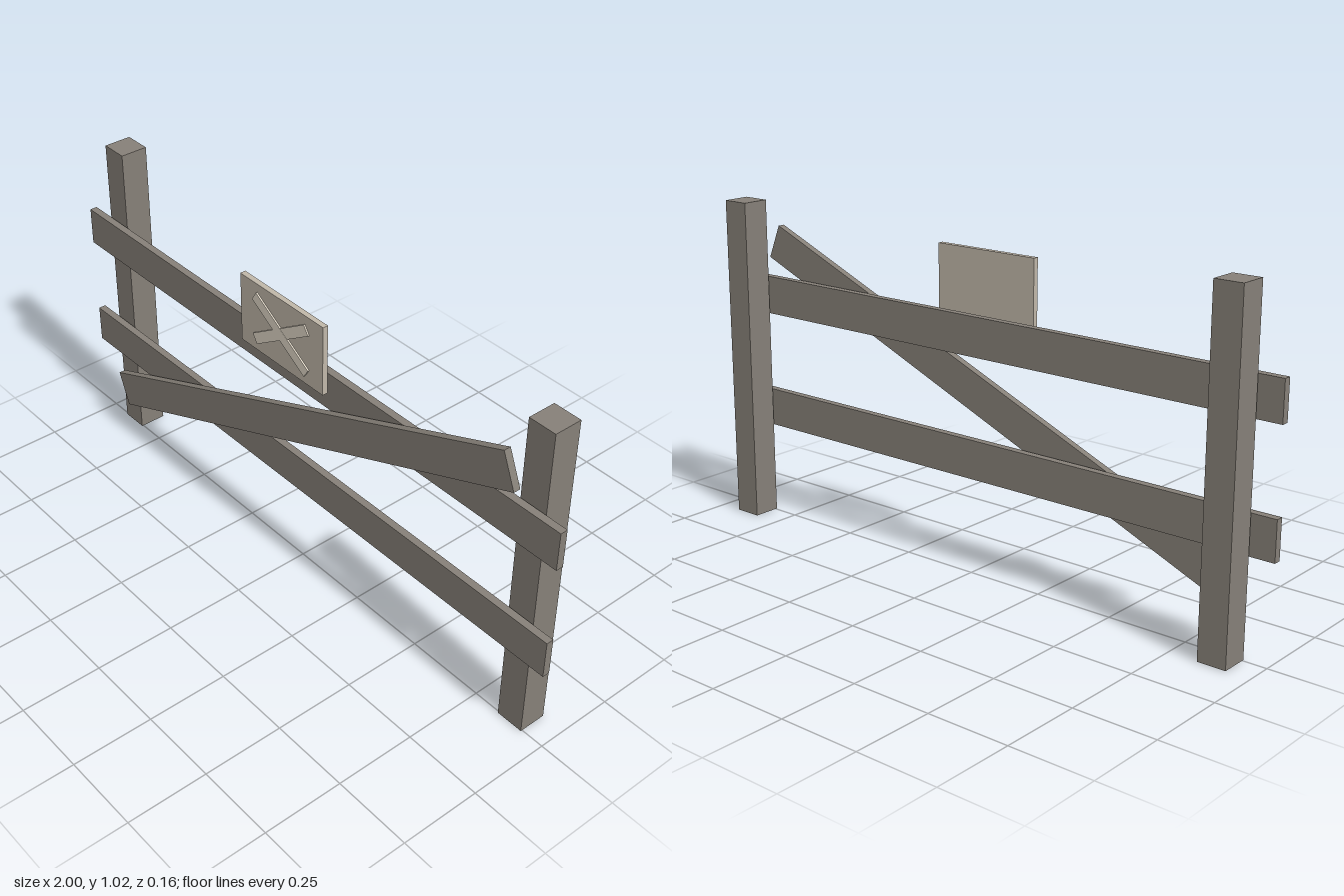
import * as THREE from 'three';

export function createModel() {
  const group = new THREE.Group();
  const wood = new THREE.MeshStandardMaterial({ name: 'weathered wood', color: 0x868078 });
  const board = new THREE.MeshStandardMaterial({ name: 'pale board', color: 0xc0b7a9 });
  const paint = new THREE.MeshStandardMaterial({ name: 'cross paint', color: 0xe0d7c7 });
  const dark = new THREE.MeshStandardMaterial({ name: 'dark underside', color: 0x4c4b4a });

  // A box with a dark underside, given by its size and centre, tilted in the front plane
  function plank(name, material, [w, h, d], [x, y, z], tilt = 0) {
    const faces = [material, material, material, dark, material, material];
    const mesh = new THREE.Mesh(new THREE.BoxGeometry(w, h, d), faces);
    mesh.name = name;
    mesh.position.set(x, y, z);
    mesh.rotation.z = tilt;
    group.add(mesh);
  }

  // Upright posts
  for (const [side, s] of [['left', 1], ['right', -1]]) {
    plank(side + 'Post', wood, [0.087, 1.017, 0.087], [s * 0.883, 0.5085, -0.0385]);
  }

  // Horizontal rails, standing just clear of the posts
  plank('upperRail', wood, [2, 0.119, 0.023], [0, 0.7145, 0.0215]);
  plank('lowerRail', wood, [2, 0.119, 0.023], [0, 0.3465, 0.0215]);

  // Diagonal brace in front of the rails
  plank('brace', wood, [1.827, 0.113, 0.022], [-0.001, 0.5305, 0.049], 0.394);

  // Sign board with a painted cross
  plank('signBoard', board, [0.35, 0.219, 0.017], [0, 0.8475, 0.0695]);
  plank('crossStrokeRising', paint, [0.262, 0.033, 0.006], [0, 0.846, 0.0798], 0.57);
  plank('crossStrokeFalling', paint, [0.262, 0.033, 0.006], [0, 0.846, 0.08], -0.57);

  return group;
}
